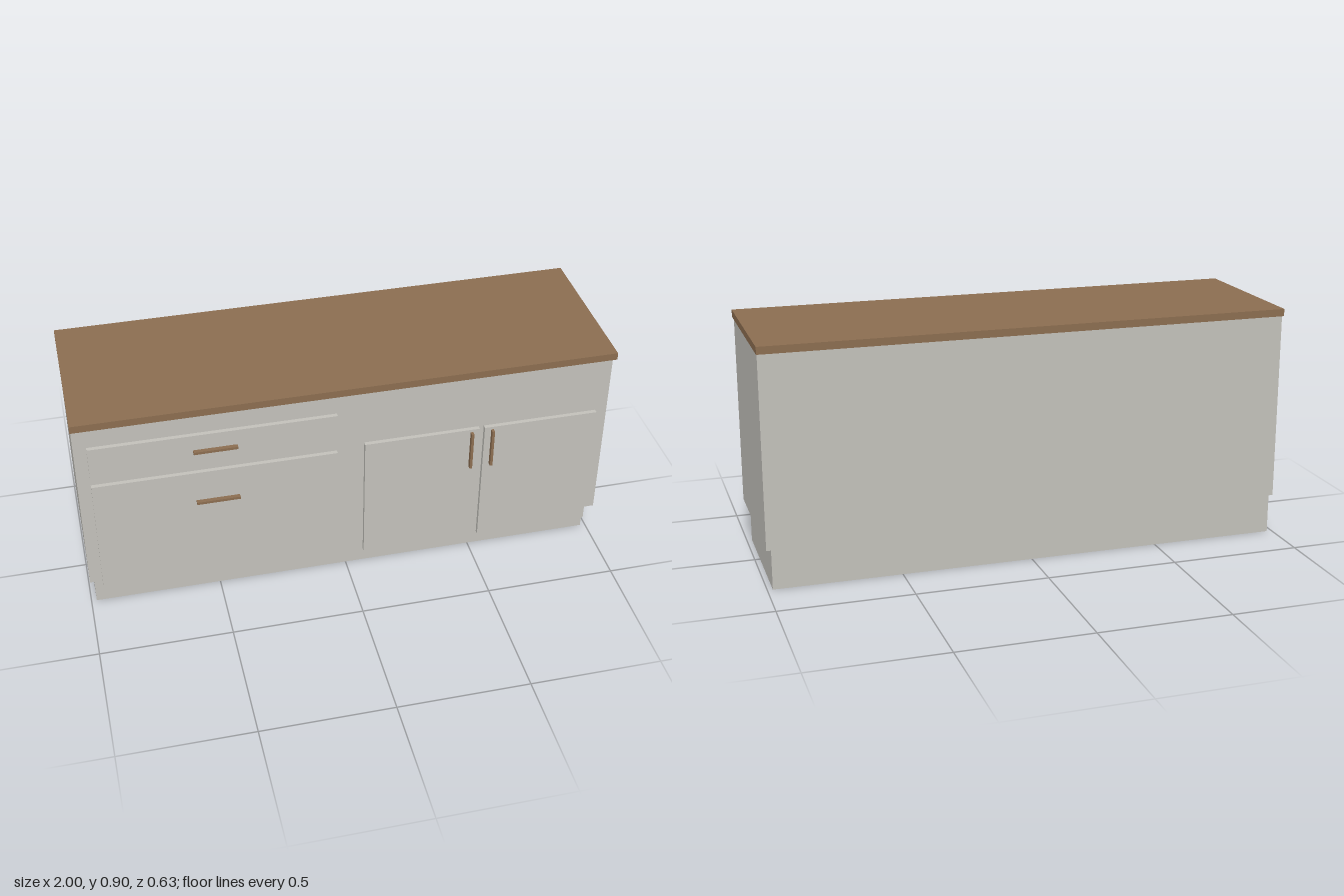
import * as THREE from 'three';

export function createModel() {
  const group = new THREE.Group();
  const paint = new THREE.MeshStandardMaterial({ color: 0xc2c0ba });
  paint.name = 'warm grey paint';
  const wood = new THREE.MeshStandardMaterial({ color: 0x8b6d50 });
  wood.name = 'brown wood';

  // Box given by its extents along each axis
  function box(name, material, [x0, x1], [y0, y1], [z0, z1]) {
    const mesh = new THREE.Mesh(new THREE.BoxGeometry(x1 - x0, y1 - y0, z1 - z0), material);
    mesh.position.set((x0 + x1) / 2, (y0 + y1) / 2, (z0 + z1) / 2);
    mesh.name = name;
    group.add(mesh);
  }

  // Carcass, recessed plinth and worktop
  box('plinth', paint, [-0.98, 0.98], [0, 0.15], [-0.306, 0.212]);
  box('cabinetBody', paint, [-0.997, 0.997], [0.15, 0.872], [-0.306, 0.272]);
  box('worktop', wood, [-1, 1], [0.872, 0.9], [-0.316, 0.302]);

  // Drawer and door fronts, each with a thin inset backing panel and a bar handle
  const fronts = [
    { name: 'upperDrawer', x: [-0.95, -0.053], y: [0.652, 0.79], inset: 0.02, hx: [-0.58, -0.42], hy: [0.717, 0.727] },
    { name: 'lowerDrawer', x: [-0.95, -0.053], y: [0.145, 0.622], inset: 0.04, hx: [-0.58, -0.42], hy: [0.487, 0.497] },
    { name: 'innerDoor', x: [0.05, 0.487], y: [0.123, 0.641], inset: 0.042, hx: [0.452, 0.462], hy: [0.47, 0.63] },
    { name: 'outerDoor', x: [0.507, 0.945], y: [0.123, 0.641], inset: 0.042, hx: [0.532, 0.542], hy: [0.47, 0.63] },
  ];
  for (const { name, x, y, inset, hx, hy } of fronts) {
    const shrink = ([a, b]) => [a + inset, b - inset];
    box(name + 'Front', paint, x, y, [0.286, 0.302]);
    box(name + 'Backing', paint, shrink(x), shrink(y), [0.282, 0.286]);
    box(name + 'Handle', wood, hx, hy, [0.302, 0.318]);
  }
  return group;
}
